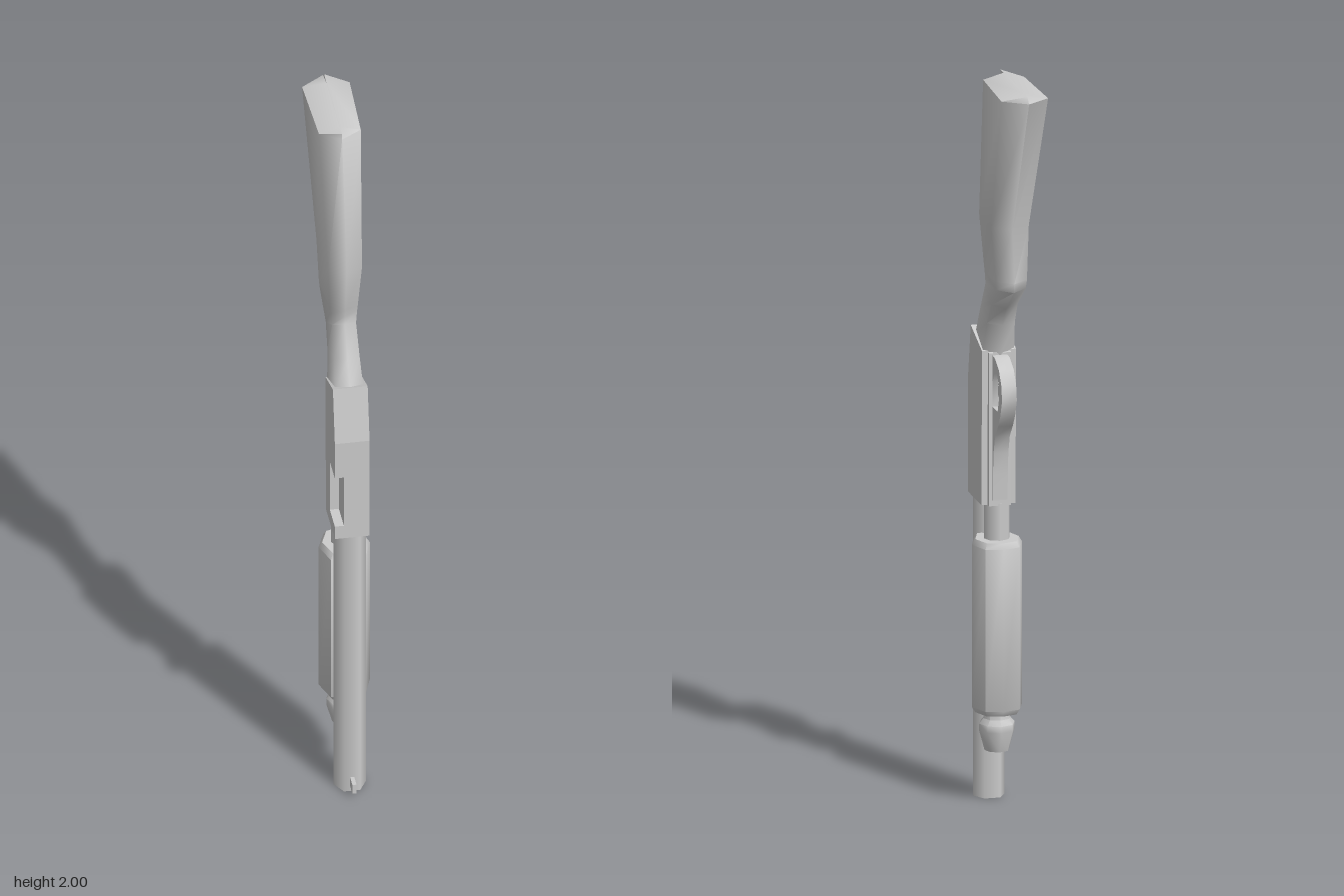
import * as THREE from 'three';
import { toCreasedNormals } from 'three/addons/utils/BufferGeometryUtils.js';

const material = new THREE.MeshStandardMaterial({ color: 0xcccccc });

// Skin a stack of closed rings (counter-clockwise seen from above), with end caps
function loft(rings, crease) {
  const n = rings[0].length;
  const points = rings.flat();
  const index = [];
  for (let i = 0; i < rings.length - 1; i++) {
    for (let j = 0; j < n; j++) {
      const a = i * n + j, b = i * n + (j + 1) % n;
      index.push(a, b, b + n, a, b + n, a + n);
    }
  }
  const top = (rings.length - 1) * n;
  for (let j = 1; j < n - 1; j++) {
    index.push(0, j + 1, j, top, top + j, top + j + 1);
  }
  const geometry = new THREE.BufferGeometry();
  geometry.setAttribute('position', new THREE.Float32BufferAttribute(points.flat(), 3));
  geometry.setIndex(index);
  return toCreasedNormals(geometry, crease);
}

// Extrude a (z, y) side outline between two x positions
function sidePlate(outline, x0, x1, hole) {
  const toPoints = (list) => list.map(([z, y]) => new THREE.Vector2(z, y));
  const shape = new THREE.Shape(toPoints(outline));
  if (hole) shape.holes.push(new THREE.Path(toPoints(hole)));
  const geometry = new THREE.ExtrudeGeometry(shape, { depth: x1 - x0, bevelEnabled: false });
  return geometry.rotateY(-Math.PI / 2).translate(x1, 0, 0);
}

export function createModel() {
  const group = new THREE.Group();
  const add = (name, geometry) => {
    const mesh = new THREE.Mesh(geometry, material);
    mesh.name = name;
    group.add(mesh);
    return mesh;
  };

  // Six-sided barrel with a small front sight
  const barrel = new THREE.CylinderGeometry(0.043, 0.043, 0.82, 6, 1, false, Math.PI / 2);
  add('barrel', barrel.translate(0, 0.41, 0.169));
  add('frontSight', new THREE.BoxGeometry(0.011, 0.028, 0.045).translate(0, 0.03, 0.2195));

  // Magazine tube and its tapered end cap
  const tube = new THREE.CylinderGeometry(0.035, 0.035, 0.6, 8);
  add('magazineTube', tube.translate(0, 0.52, 0.087));
  const capProfile = [[0, 0.145], [0.033, 0.145], [0.048, 0.2], [0.048, 0.218], [0.036, 0.232], [0.036, 0.26], [0, 0.26]];
  const cap = new THREE.LatheGeometry(capProfile.map(([r, y]) => new THREE.Vector2(r, y)), 8);
  add('magazineCap', toCreasedNormals(cap, 0.9).translate(0, 0, 0.087));

  // Sliding fore-end with chamfered ends
  const gripOutline = [[0, 0.068], [0.046, 0.062], [0.068, 0], [0.046, -0.056], [0, -0.069], [-0.046, -0.056], [-0.068, 0], [-0.046, 0.062]];
  const gripRings = [[0.25, 0.86], [0.265, 1], [0.705, 1], [0.72, 0.86]].map(([y, s]) =>
    gripOutline.map(([x, z]) => [x * s, y, 0.085 + z * s]));
  add('foreEnd', loft(gripRings, 0.95));

  // Receiver: main body plus a right slab that leaves the ejection port open
  add('receiver', sidePlate(
    [[0.07, 0.815], [0.207, 0.815], [0.207, 1.12], [0.178, 1.275], [0.064, 1.235]], -0.022, 0.046));
  add('receiverPortSide', sidePlate(
    [[0.07, 0.815], [0.207, 0.815], [0.207, 0.855], [0.13, 0.855], [0.13, 1.01], [0.207, 1.01],
      [0.207, 1.12], [0.178, 1.275], [0.064, 1.235]], -0.046, -0.022));
  add('triggerPlate', sidePlate([[0.054, 0.815], [0.08, 0.815], [0.08, 1.235], [0.054, 1.23]], -0.03, 0.03));

  // Trigger guard and trigger
  const guardOutline = [[0.065, 0.83], [0.065, 1.225], [0.03, 1.222], [-0.01, 1.2], [-0.034, 1.165], [-0.041, 1.125],
    [-0.024, 1.08], [0.0, 1.045], [0.03, 1.01], [0.045, 0.96], [0.05, 0.9], [0.053, 0.83]];
  const guardHole = [[0.053, 1.155], [0.036, 1.18], [0.01, 1.185], [-0.008, 1.16], [-0.011, 1.125], [0.004, 1.085], [0.053, 1.085]];
  add('triggerGuard', toCreasedNormals(sidePlate(guardOutline, -0.02, 0.02, guardHole), 0.7));
  add('trigger', sidePlate(
    [[0.06, 1.12], [0.04, 1.11], [0.022, 1.086], [0.017, 1.09], [0.034, 1.13], [0.06, 1.16]], -0.006, 0.006));

  // Stock: six-sided sections [front z, front y, back z, back y, half width]
  const stockSections = [
    [0.178, 1.26, 0.054, 1.22, 0.043],
    [0.14, 1.34, 0.03, 1.31, 0.038],
    [0.095, 1.42, -0.005, 1.365, 0.036],
    [0.1, 1.45, -0.085, 1.43, 0.04],
    [0.103, 1.47, -0.09, 1.455, 0.042],
    [0.121, 1.6, -0.075, 1.6, 0.051],
    [0.053, 1.985, -0.24, 1.985, 0.063],
    [0.05, 2, -0.222, 2, 0.001],
  ];
  const stockRings = stockSections.map(([fz, fy, bz, by, w]) => {
    const at = (x, t) => [x, fy + (by - fy) * t, fz + (bz - fz) * t];
    return [at(0, 0), at(w * 0.88, 0.12), at(w, 0.85), at(0, 1), at(-w, 0.85), at(-w * 0.88, 0.12)];
  });
  add('stock', loft(stockRings, 1.22));

  return group;
}
